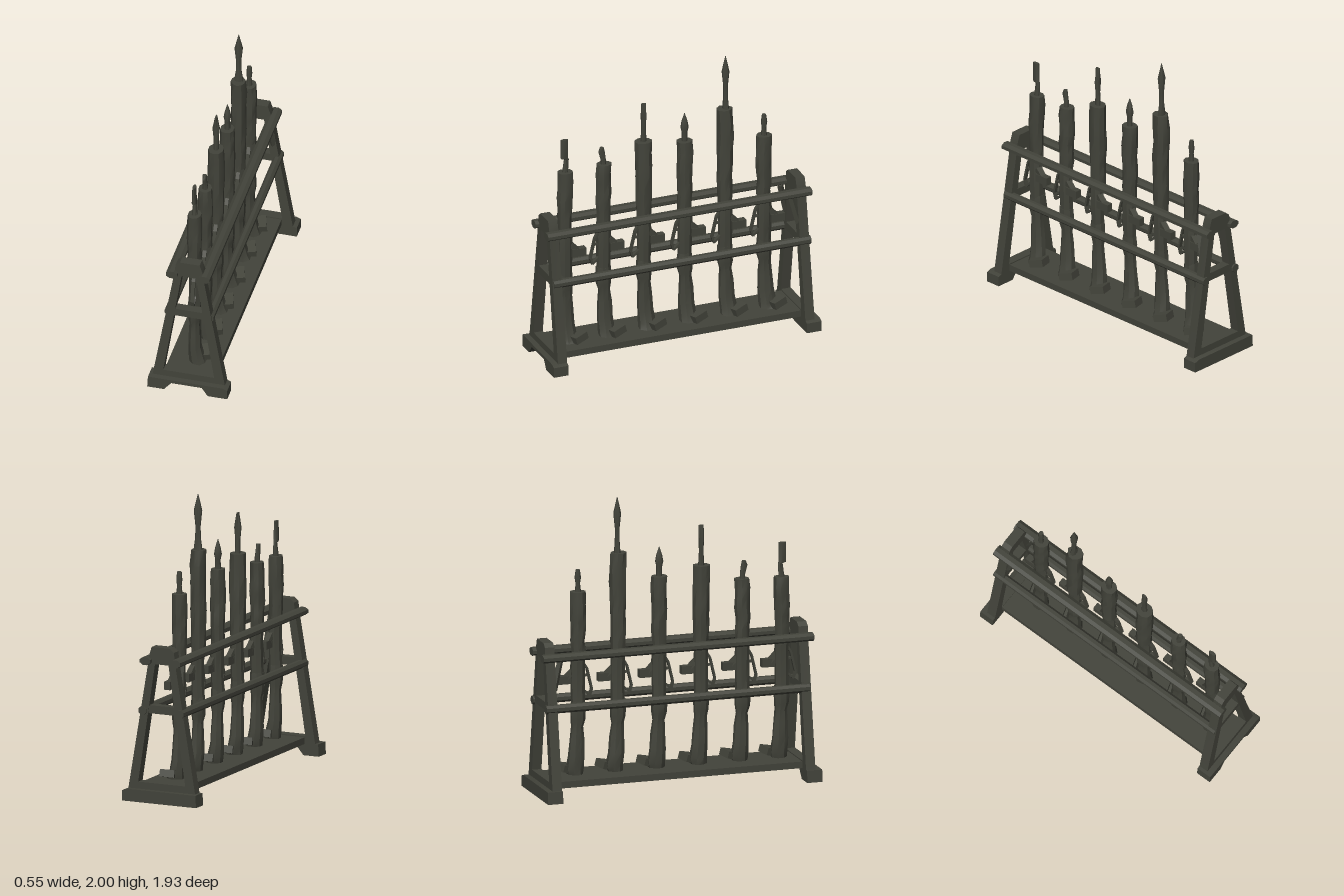
import * as THREE from 'three';
import { toCreasedNormals } from 'three/addons/utils/BufferGeometryUtils.js';

const darkMetal = new THREE.MeshStandardMaterial({ color: 0x42433a });

let seed = 7;
const rand = () => ((seed = (seed * 16807) % 2147483647) / 2147483647) * 2 - 1;

function add(parent, name, geometry) {
  const mesh = new THREE.Mesh(toCreasedNormals(geometry, 0.6), darkMetal);
  mesh.name = name;
  parent.add(mesh);
  return mesh;
}

// Closed skin over rings given as [y, centreX, centreZ, radiusX, radiusZ]
function loft(rings, sides = 8, rough = 0) {
  const pos = [], idx = [];
  for (const [y, cx, cz, rx, rz] of rings) {
    for (let i = 0; i < sides; i++) {
      const a = ((i + 0.5) / sides) * Math.PI * 2, k = 1 + rand() * rough;
      pos.push(cx + Math.cos(a) * rx * k, y, cz + Math.sin(a) * rz * k);
    }
  }
  const last = (rings.length - 1) * sides, c = rings.length * sides;
  for (const r of [rings[0], rings[rings.length - 1]]) pos.push(r[1], r[0], r[2]);
  for (let i = 0; i < sides; i++) {
    const n = (i + 1) % sides;
    for (let j = 0; j < last; j += sides) {
      idx.push(j + i, j + sides + i, j + n, j + n, j + sides + i, j + sides + n);
    }
    idx.push(c, i, n, c + 1, last + n, last + i);
  }
  const g = new THREE.BufferGeometry();
  g.setAttribute('position', new THREE.Float32BufferAttribute(pos, 3));
  g.setIndex(idx);
  return g;
}

function box(parent, name, w, h, d, x, y, z) {
  const mesh = add(parent, name, new THREE.BoxGeometry(w, h, d));
  mesh.position.set(x, y, z);
  return mesh;
}

// Square bar between two points
function bar(parent, name, from, to, w, d) {
  const a = new THREE.Vector3(...from), b = new THREE.Vector3(...to);
  const mesh = add(parent, name, new THREE.BoxGeometry(w, a.distanceTo(b), d));
  mesh.position.copy(a).add(b).multiplyScalar(0.5);
  mesh.quaternion.setFromUnitVectors(new THREE.Vector3(0, 1, 0), b.sub(a).normalize());
}

// Outline in x and y, pushed along z and centred on it
function plate(parent, name, points, depth, z, hole) {
  const shape = new THREE.Shape(points.map(p => new THREE.Vector2(...p)));
  if (hole) shape.holes.push(new THREE.Path(hole.map(p => new THREE.Vector2(...p))));
  const g = new THREE.ExtrudeGeometry(shape, { depth, bevelEnabled: false });
  add(parent, name, g.translate(0, 0, z - depth / 2));
}

function makeFrame(side) {
  const frame = new THREE.Group();
  frame.name = side > 0 ? 'frontFrame' : 'backFrame';
  const z = side * 0.89;
  // A-shaped upright with a trapezoid opening
  plate(frame, 'upright',
    [[-0.25, 0.07], [0.25, 0.07], [0.1, 0.95], [0.1, 0.98], [0.075, 1.055], [-0.06, 1.055], [-0.09, 1.03], [-0.1, 0.95]],
    0.066, z, [[-0.175, 0.13], [-0.05, 0.94], [0.05, 0.94], [0.175, 0.13]]);
  box(frame, 'crossbar', 0.3, 0.055, 0.06, 0, 0.63, z);
  // Front foot is notched, back foot is solid
  const notch = side > 0 ? [[-0.16, 0], [-0.11, 0.06], [0.1, 0.06], [0.14, 0]] : [];
  plate(frame, 'foot',
    [[-0.275, 0], ...notch, [0.275, 0], [0.275, 0.07], [0.24, 0.083], [-0.27, 0.083]], 0.106, side * 0.91);
  return frame;
}

// Tip rings are [height, offsetZ, radiusX, radiusZ]
const rifles = [
  { z: 0.77, top: 1.36, r: 0.052, tip: [[1.35, 0, 0.02, 0.02], [1.45, -0.01, 0.012, 0.017], [1.46, 0.005, 0.017, 0.027], [1.595, 0.005, 0.012, 0.027]] },
  { z: 0.495, top: 1.37, r: 0.052, tip: [[1.36, 0, 0.02, 0.018], [1.4, 0, 0.018, 0.018], [1.46, 0.012, 0.014, 0.023], [1.49, 0.01, 0.015, 0.013]] },
  { z: 0.205, top: 1.485, r: 0.058, tip: [[1.47, 0, 0.018, 0.022], [1.58, 0, 0.018, 0.015], [1.66, 0, 0.026, 0.018], [1.76, 0, 0.006, 0.018]] },
  { z: -0.09, top: 1.435, r: 0.054, tip: [[1.42, 0, 0.02, 0.02], [1.5, 0, 0.018, 0.02], [1.535, 0, 0.026, 0.028], [1.58, 0, 0.018, 0.02], [1.635, 0, 0.002, 0.002]] },
  { z: -0.38, top: 1.62, r: 0.055, tip: [[1.6, -0.005, 0.035, 0.022], [1.7, -0.005, 0.02, 0.016], [1.78, -0.005, 0.018, 0.015], [1.89, -0.005, 0.029, 0.026], [2, -0.005, 0.002, 0.002]] },
  { z: -0.66, top: 1.375, r: 0.053, tip: [[1.36, 0, 0.022, 0.022], [1.43, -0.002, 0.016, 0.015], [1.47, -0.002, 0.02, 0.022], [1.525, -0.002, 0.016, 0.014]] },
];

function makeRifle({ z, top, r, tip }, i) {
  const rifle = new THREE.Group();
  rifle.name = 'rifle' + (i + 1);
  rifle.position.z = z;
  // Shoulder stock flaring to the toe at the bottom
  add(rifle, 'stock', loft([
    [0.12, 0.02, -0.015, 0.06, 0.055], [0.16, 0.01, -0.02, 0.052, 0.06], [0.25, 0, -0.012, 0.044, 0.056],
    [0.36, 0, -0.008, 0.04, 0.05], [0.45, 0, -0.005, 0.036, 0.042], [0.5, 0, 0, 0.045, 0.052],
    [0.56, 0, 0, 0.048, 0.055], [0.62, 0, 0, 0.045, 0.048]], 8, 0.06));
  const toe = box(rifle, 'stockToe', 0.1, 0.05, 0.1, 0.05, 0.16, -0.07);
  toe.rotation.set(0.25, 0.3, 0);
  // Receiver and wrapped fore-end
  add(rifle, 'receiver', loft([
    [0.6, 0, 0, 0.044, 0.046], [0.7, 0.005, 0, 0.042, 0.048], [0.85, 0.008, 0, 0.044, 0.05], [0.95, 0, 0, 0.044, 0.046]], 8, 0.05));
  const rings = [];
  for (let k = 0; k <= 7; k++) {
    const y = 0.9 + (top - 0.9) * k / 7;
    const grow = 0.9 + 0.12 * Math.min(1, k / 4);
    rings.push([y, 0, rand() * 0.004, r * grow * (k === 7 ? 0.85 : 0.95), r * grow]);
  }
  add(rifle, 'foreEnd', loft(rings, 10, i === 4 ? 0.1 : 0.06));
  // Barrel end or blade
  add(rifle, 'muzzle', loft(tip.map(([y, oz, rx, rz]) => [y, 0, oz, rx, rz]), 8));
  // Bolt handle on the back
  bar(rifle, 'boltArm', [0.02, 0.83, -0.03], [0.025, 0.775, -0.085], 0.04, 0.035);
  box(rifle, 'boltHandle', 0.045, 0.055, 0.1, 0.025, 0.77, -0.085);
  // Open guard loop on the front side
  const loop = [[0.88, 0.04], [0.84, 0.065], [0.7, 0.098], [0.655, 0.085], [0.7, 0.035]];
  for (let k = 0; k < loop.length - 1; k++) {
    bar(rifle, 'triggerGuard', [0.01, ...loop[k]], [0.01, ...loop[k + 1]], 0.025, 0.014);
  }
  bar(rifle, 'trigger', [0.01, 0.79, 0.04], [0.01, 0.8, 0.08], 0.02, 0.014);
  return rifle;
}

export function createModel() {
  const model = new THREE.Group();
  model.name = 'rifleRack';
  model.add(makeFrame(1), makeFrame(-1));

  // Base board
  box(model, 'baseBoard', 0.34, 0.045, 1.82, 0, 0.1, 0);

  // Paired rails either side of the rifles
  for (const s of [-1, 1]) {
    const upper = add(model, 'upperRail', new THREE.CylinderGeometry(0.036, 0.036, 1.9, 8).rotateY(Math.PI / 8).rotateX(Math.PI / 2));
    upper.scale.set(1.15, 0.8, 1);
    upper.position.set(s * 0.112, 0.96, 0);
    const lower = add(model, 'lowerRail', new THREE.CylinderGeometry(0.03, 0.03, 1.85, 8).rotateY(Math.PI / 8).rotateX(Math.PI / 2));
    lower.position.set(s * 0.14, 0.618, -0.01);
    // Slim brace under the upper rail at the back
    bar(model, 'brace', [s * 0.09, 0.94, -0.815], [s * 0.11, 0.74, -0.865], 0.03, 0.03);
  }

  rifles.forEach((spec, i) => model.add(makeRifle(spec, i)));
  return model;
}
